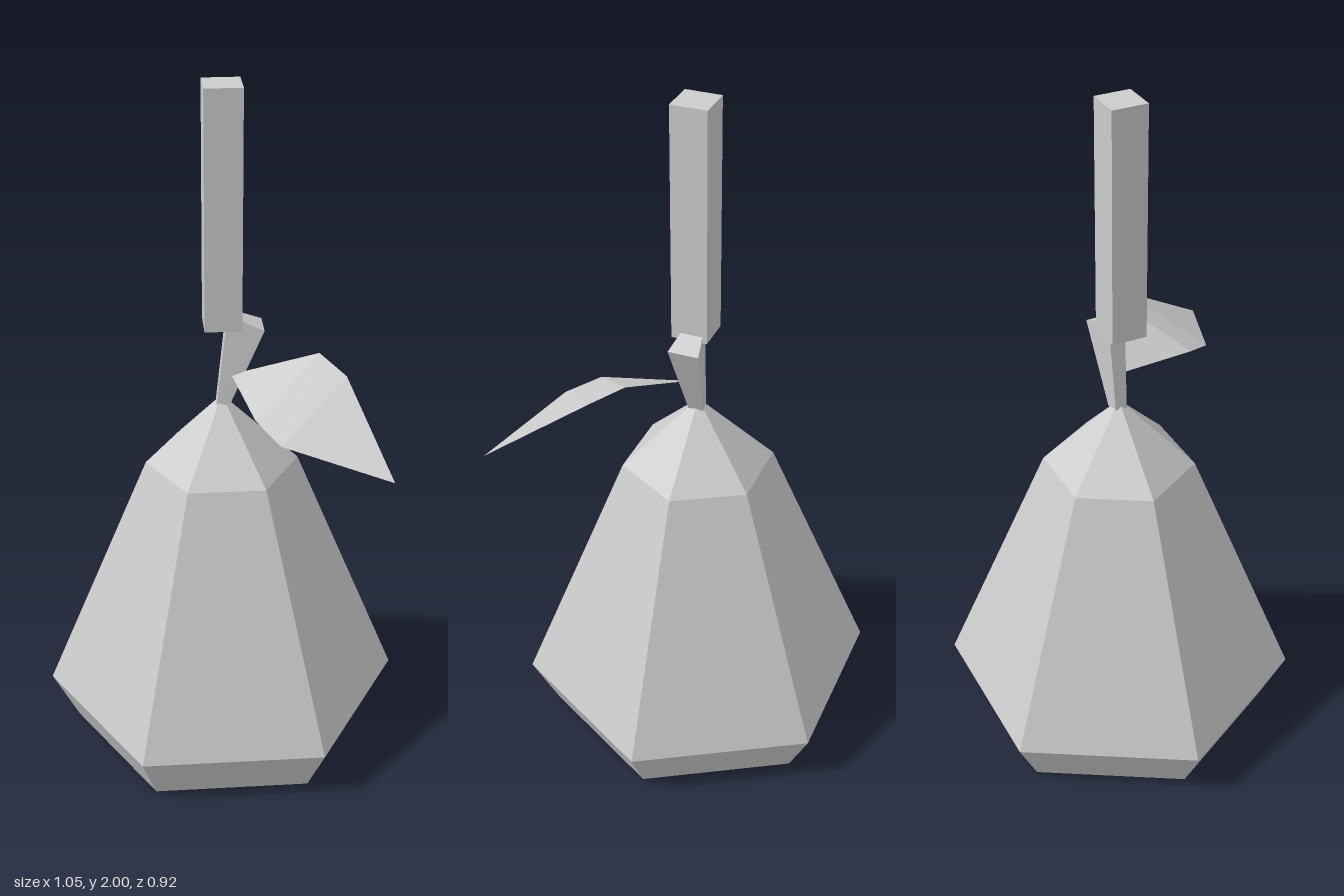
import * as THREE from 'three';

const grey = new THREE.MeshStandardMaterial({ name: 'lightGrey', color: 0xcccccc, flatShading: true });
const greyThin = new THREE.MeshStandardMaterial({ name: 'lightGreyLeaf', color: 0xcccccc, flatShading: true, side: THREE.DoubleSide });

function addPart(group, name, geometry, material = grey) {
  const flat = geometry.index ? geometry.toNonIndexed() : geometry;
  flat.computeVertexNormals();
  const mesh = new THREE.Mesh(flat, material);
  mesh.name = name;
  group.add(mesh);
  return mesh;
}

function fromCorners(points, faces) {
  const geometry = new THREE.BufferGeometry();
  geometry.setAttribute('position', new THREE.Float32BufferAttribute(points.flat(), 3));
  geometry.setIndex(faces.flat());
  return geometry;
}

export function createModel() {
  const model = new THREE.Group();
  model.name = 'hangingFruit';

  // Six-sided body with a corner on each side of the x axis
  const profile = [[0, 0], [0.445, 0], [0.523, 0.15], [0.22, 0.89], [0, 1.1]];
  const body = new THREE.LatheGeometry(profile.map(([r, y]) => new THREE.Vector2(r, y)), 6, Math.PI / 2);
  addPart(model, 'body', body).position.z = -0.007;

  // Square hanging post
  const post = addPart(model, 'post', new THREE.BoxGeometry(0.104, 0.68, 0.104));
  post.position.y = 1.66;

  // Stem: four-sided, widening and leaning towards +x
  const stem = fromCorners([
    [-0.016, 1.075, 0.01], [0.02, 1.075, 0.016], [0.02, 1.075, -0.03], [-0.016, 1.075, -0.024],
    [0.014, 1.355, 0.018], [0.115, 1.312, 0.037], [0.115, 1.312, -0.052], [0.014, 1.355, -0.032],
  ], [
    [0, 1, 5], [0, 5, 4], [1, 2, 6], [1, 6, 5], [2, 3, 7], [2, 7, 6],
    [3, 0, 4], [3, 4, 7], [4, 5, 6], [4, 6, 7], [0, 3, 2], [0, 2, 1],
  ]);
  addPart(model, 'stem', stem);

  // Thin leaf: base, two cross-sections and a drooping tip
  const leaf = fromCorners([
    [0.025, 1.17, 0.01],
    [0.07, 1.15, 0.26], [0.26, 1.27, 0.1],
    [0.13, 1.115, 0.345], [0.325, 1.235, 0.18],
    [0.418, 1.055, 0.457],
  ], [[0, 1, 2], [1, 3, 2], [2, 3, 4], [3, 5, 4]]);
  addPart(model, 'leaf', leaf, greyThin);

  return model;
}
